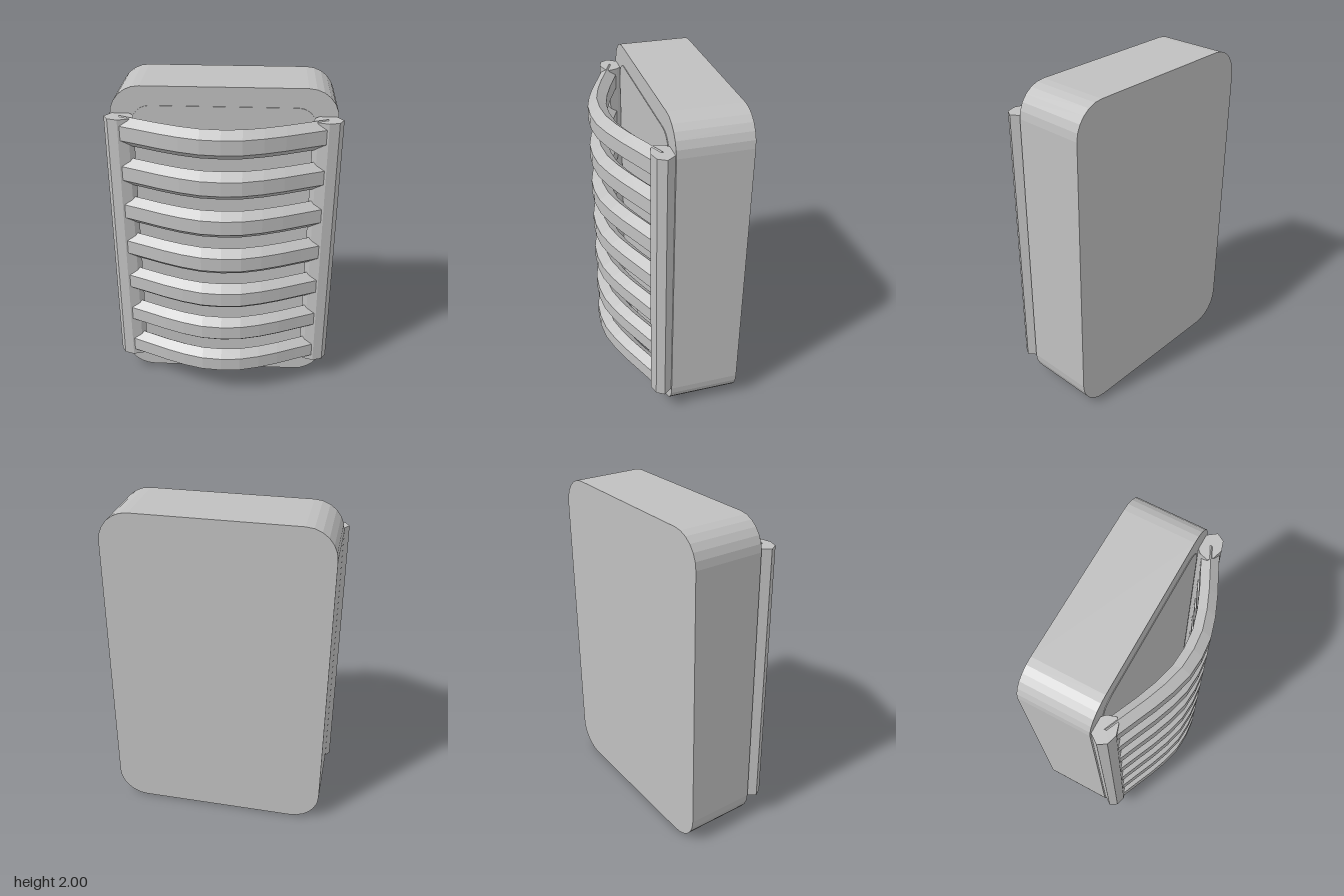
import * as THREE from 'three';

// Rounded rectangle centred on x, standing on y0
function roundedSlab(halfW, y0, y1, r, depth) {
  const s = new THREE.Shape();
  s.absarc(halfW - r, y1 - r, r, 0, Math.PI / 2);
  s.absarc(-halfW + r, y1 - r, r, Math.PI / 2, Math.PI);
  s.absarc(-halfW + r, y0 + r, r, Math.PI, Math.PI * 1.5);
  s.absarc(halfW - r, y0 + r, r, Math.PI * 1.5, Math.PI * 2);
  return new THREE.ExtrudeGeometry(s, { depth, bevelEnabled: false, curveSegments: 3 });
}

export function createModel() {
  const model = new THREE.Group();
  model.name = 'ribbedLamp';
  const grey = new THREE.MeshStandardMaterial({ color: 0xc0c0c0, flatShading: true });
  grey.name = 'light grey';

  const add = (name, geometry) => {
    const mesh = new THREE.Mesh(geometry, grey);
    mesh.name = name;
    model.add(mesh);
    return mesh;
  };

  // Housing block and the thin panel on its front
  add('housing', roundedSlab(0.663, 0, 2, 0.18, 0.43)).position.z = -0.37;
  add('frontPanel', roundedSlab(0.535, 0.12, 1.885, 0.105, 0.004)).position.z = 0.06;

  // Upright side rails, [x, z] section mirrored
  const section = [[0.65, 0.06], [0.688, 0.112], [0.66, 0.16], [0.6, 0.178],
    [0.54, 0.16], [0.512, 0.135], [0.527, 0.083], [0.55, 0.06]];
  for (const side of [1, -1]) {
    const shape = new THREE.Shape(section.map(([x, z]) => new THREE.Vector2(side * x, -z)));
    const rail = new THREE.ExtrudeGeometry(shape, { depth: 1.666, bevelEnabled: false });
    rail.rotateX(-Math.PI / 2);
    add(side > 0 ? 'leftRail' : 'rightRail', rail).position.y = 0.17;
  }

  // Bowed six-sided bars: a straight prism bent forward by a curve
  const bow = [0.31, 0.301, 0.268, 0.222, 0.168, 0.115];
  const bar = new THREE.CylinderGeometry(1, 1, 1.2, 6, 10, false, Math.PI / 6);
  bar.rotateZ(Math.PI / 2);
  bar.scale(1, 0.0875, 0.0635);
  const p = bar.attributes.position;
  for (let i = 0; i < p.count; i++) {
    p.setZ(i, p.getZ(i) + bow[Math.round(Math.abs(p.getX(i)) / 0.12)]);
  }
  bar.computeVertexNormals();
  for (let i = 0; i < 7; i++) {
    add('guardBar' + (i + 1), bar).position.y = 0.254 + i * 0.25;
  }

  return model;
}
